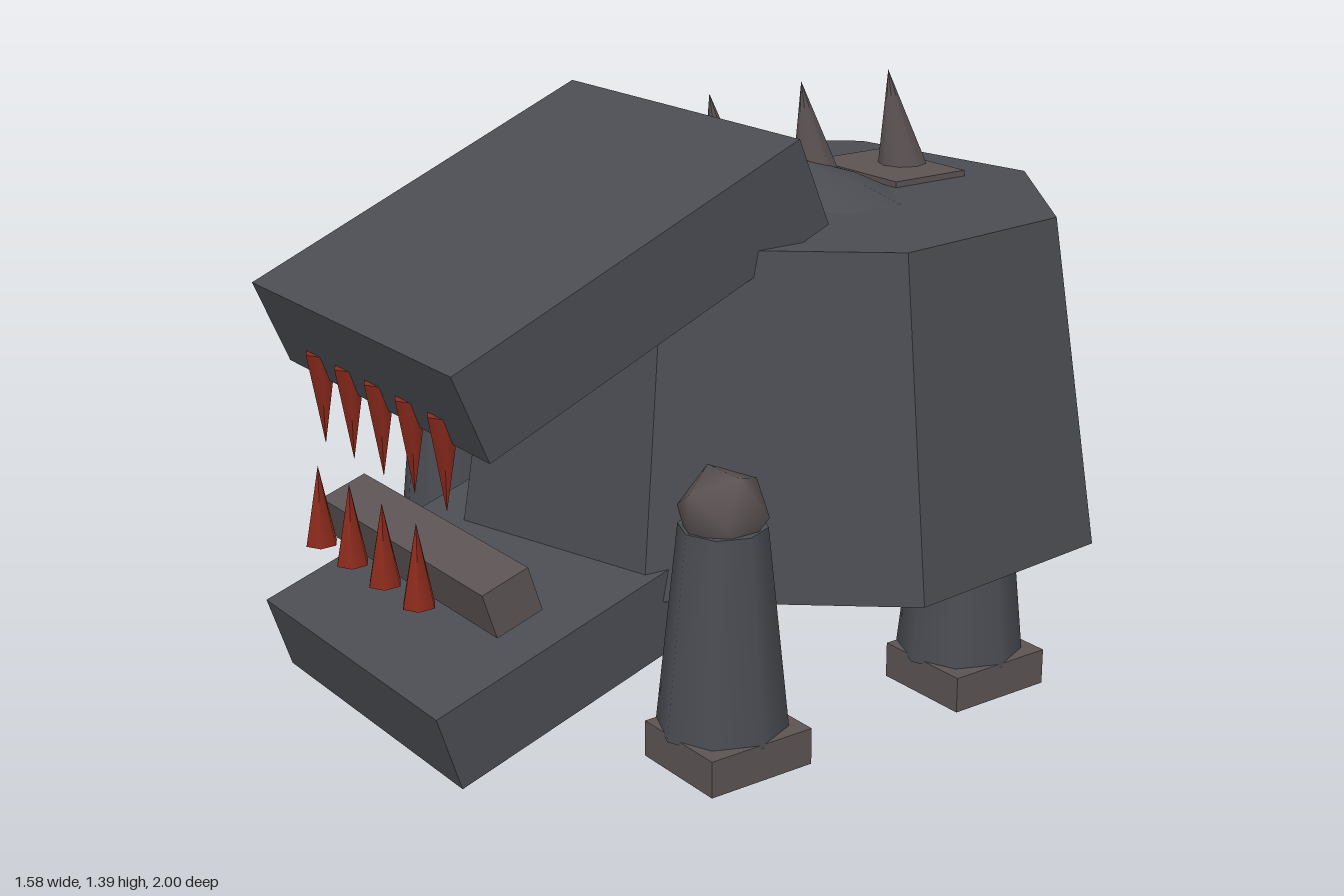
import * as THREE from 'three';
import { mergeVertices } from 'three/addons/utils/BufferGeometryUtils.js';

export function createModel() {
  const root = new THREE.Group();
  const hide = new THREE.MeshStandardMaterial({ color: 0x4a4c52 });
  const hideFlat = new THREE.MeshStandardMaterial({ color: 0x4a4c52, flatShading: true });
  const horn = new THREE.MeshStandardMaterial({ color: 0x5c5353 });
  const red = new THREE.MeshStandardMaterial({ color: 0x8b2a1c });

  const add = (name, geometry, material, x, y, z, tilt = 0) => {
    const mesh = new THREE.Mesh(geometry, material);
    mesh.name = name;
    mesh.position.set(x, y, z);
    mesh.rotation.x = tilt;
    root.add(mesh);
    return mesh;
  };
  const box = (w, h, d) => new THREE.BoxGeometry(w, h, d);
  const rad = THREE.MathUtils.degToRad;

  // Body: tapered octagon, turned and slightly stretched
  const body = new THREE.CylinderGeometry(0.85, 1, 0.805, 8);
  body.applyMatrix4(new THREE.Matrix4().makeBasis(
    new THREE.Vector3(0.79, 0, 0.17),
    new THREE.Vector3(0, 1, 0),
    new THREE.Vector3(-0.25, 0, 0.77)
  ));
  add('body', body, hideFlat, 0, 0.7275, -0.23);

  // Low hump and plate on the back
  const humpProfile = [[1, 0], [0.6, 0.045], [0, 0.085]].map(([r, y]) => new THREE.Vector2(r, y));
  const hump = new THREE.LatheGeometry(humpProfile, 8, Math.PI / 8);
  hump.scale(0.378, 1, 0.23);
  add('hump', hump, hide, 0, 1.12, -0.295);
  add('backPlate', box(0.33, 0.06, 0.23), horn, 0, 1.115, -0.605);

  // Three spikes leaning forward along the spine
  for (const z of [-0.063, -0.345, -0.628]) {
    add('backSpike', new THREE.ConeGeometry(0.068, 0.28, 8), horn, 0, 1.255, z, rad(12));
  }

  // Open jaws and gums
  add('upperJaw', box(0.92, 0.225, 0.988), hide, 0, 1.0725, 0.468, rad(22.9));
  add('lowerJaw', box(0.82, 0.193, 1.0), hide, 0, 0.263, 0.497, rad(18));
  add('upperGum', box(0.75, 0.12, 0.125), horn, 0, 0.865, 0.735, rad(22.9));
  add('lowerGum', box(0.75, 0.115, 0.125), horn, 0, 0.407, 0.781, rad(18));

  // Teeth: five above, four below
  for (let i = -2; i <= 2; i++) {
    add('upperTooth', new THREE.ConeGeometry(0.04, 0.225, 6), red, i * 0.141, 0.728, 0.885, Math.PI);
  }
  for (let i = -1.5; i <= 1.5; i++) {
    add('lowerTooth', new THREE.ConeGeometry(0.04, 0.195, 6), red, i * 0.154, 0.4875, 0.935);
  }

  // Faceted knob with shared vertices for soft shading
  const knob = new THREE.IcosahedronGeometry(0.11, 0);
  knob.deleteAttribute('normal');
  knob.deleteAttribute('uv');
  const knobGeometry = mergeVertices(knob);
  knobGeometry.computeVertexNormals();

  // Four legs with knobs and square feet
  for (const side of [1, -1]) {
    for (const [end, z] of [['front', 0.368], ['back', -0.355]]) {
      const x = side * 0.594;
      add(end + 'Leg', new THREE.CylinderGeometry(0.102, 0.153, 0.485, 8), hide, x, 0.3225, z);
      add(end + 'Knob', knobGeometry, horn, x, 0.597, z);
      add(end + 'Foot', box(0.255, 0.088, 0.28), horn, side * 0.616, 0.044, z);
    }
  }
  return root;
}
